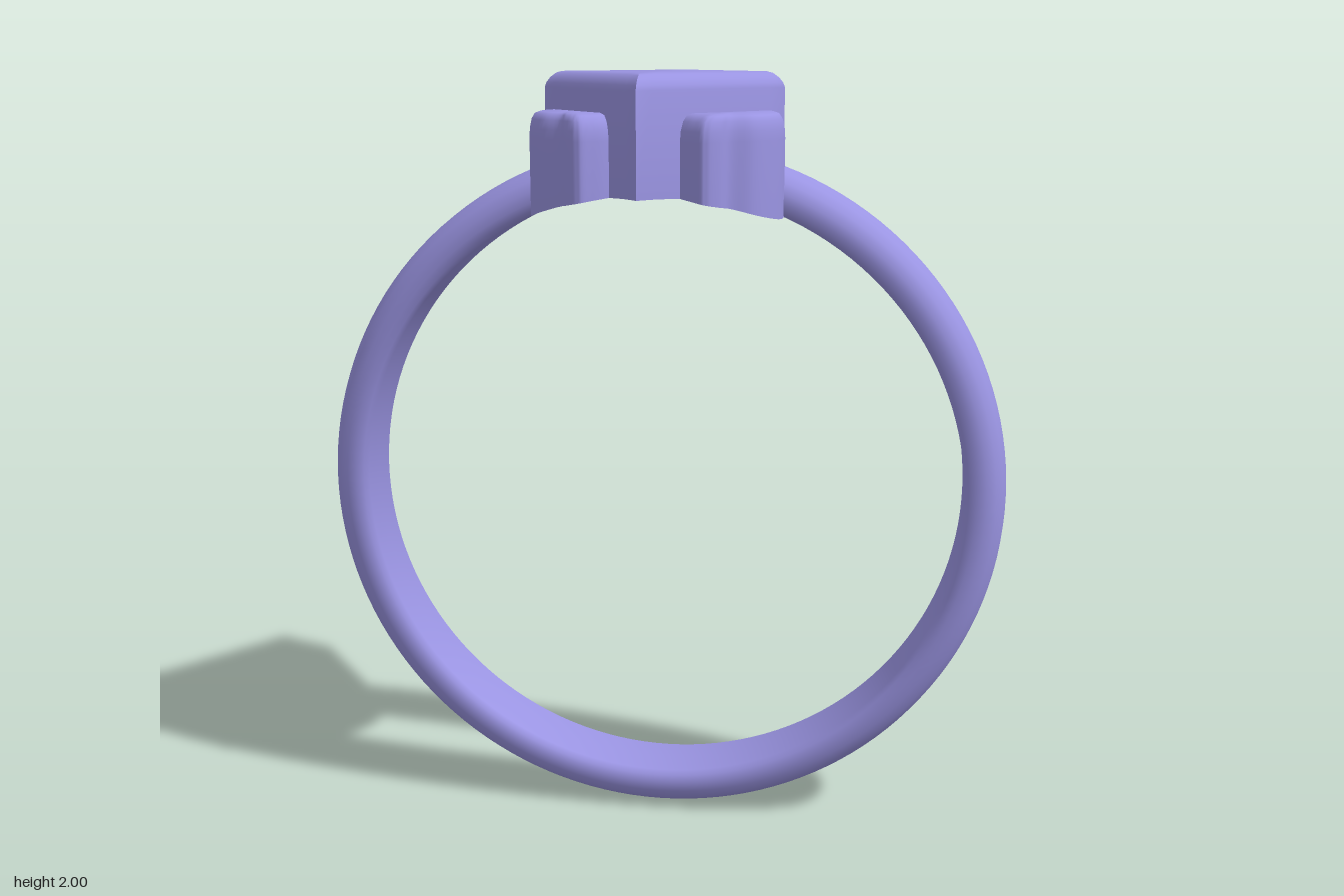
import * as THREE from 'three';
import { toCreasedNormals } from 'three/addons/utils/BufferGeometryUtils.js';

const CY = 0.91, INNER = 0.8;
const material = new THREE.MeshStandardMaterial({ color: 0x9a94e2 });

// Height of the finger hole's arch at x
const arch = (x) => CY + Math.sqrt(INNER * INNER - x * x);

// Skin an outline (x, z points) scaled about a centre; a null height follows the arch
function loft(outline, [cx, cz], levels, crease) {
  const pos = [], idx = [], n = outline.length;
  levels.forEach(([s, y], i) => {
    outline.forEach(([px, pz], j) => {
      const x = cx + (px - cx) * s, z = cz + (pz - cz) * s;
      pos.push(x, y ?? arch(x), z);
      if (i === levels.length - 1) return;
      const a = i * n + j, b = i * n + (j + 1) % n;
      if (s > 0) idx.push(a, a + n, b);
      if (levels[i + 1][0] > 0) idx.push(b, a + n, b + n);
      else if (s === 0) idx.pop();
    });
  });
  const geo = new THREE.BufferGeometry();
  geo.setAttribute('position', new THREE.Float32BufferAttribute(pos, 3));
  geo.setIndex(idx);
  return toCreasedNormals(geo, crease);
}

export function createModel() {
  const ring = new THREE.Group();
  ring.name = 'ring';
  const add = (name, geo) => {
    const mesh = new THREE.Mesh(geo, material);
    mesh.name = name;
    ring.add(mesh);
    return mesh;
  };

  // Band: domed outside, flat inside, open under the hollow head
  const half = [[0.8, 0], [0.8, 0.085], [0.81, 0.1], [0.83, 0.106], [0.855, 0.104],
    [0.88, 0.09], [0.898, 0.062], [0.907, 0.03]];
  const profile = [
    ...half.map(([r, z]) => new THREE.Vector2(r, -z)),
    new THREE.Vector2(0.91, 0),
    ...half.map(([r, z]) => new THREE.Vector2(r, z)).reverse(),
  ];
  const gap = 0.255;
  const band = new THREE.LatheGeometry(profile, 128, Math.PI + gap, 2 * Math.PI - 2 * gap);
  band.rotateX(Math.PI / 2);
  add('band', band).position.y = CY;

  // Diamond head: hollow below, softly bevelled on top
  const corners = [[0.31, 0], [0, 0.43], [-0.31, 0], [0, -0.43]];
  const diamond = [];
  corners.forEach(([x, z], i) => {
    const [x2, z2] = corners[(i + 1) % 4];
    for (let k = 0; k < 10; k++) diamond.push([x + (x2 - x) * k / 10, z + (z2 - z) * k / 10]);
  });
  add('diamondHead', loft(diamond, [0, 0], [
    [0, 1.88], [0.64, 1.88], [0.64, null], [1, null], [1, 1.96],
    [0.985, 1.972], [0.95, 1.985], [0.9, 1.996], [0.85, 2], [0, 2],
  ], 0.6));

  // Rounded side lobes hugging the two front faces
  const curve = new THREE.CatmullRomCurve3([
    [0.25, 0.03], [0.295, 0.0], [0.315, 0.05], [0.318, 0.14], [0.3, 0.21], [0.26, 0.275],
    [0.205, 0.308], [0.185, 0.34], [0.15, 0.365], [0.12, 0.345], [0.09, 0.315], [0.07, 0.28],
  ].map(([x, z]) => new THREE.Vector3(x, 0, z)), true);
  const lobe = curve.getPoints(60).slice(0, -1).map((p) => [p.x, p.z]);
  const levels = [[0, null], [0.5, null], [1, null], [1, 1.84], [0.985, 1.865],
    [0.94, 1.887], [0.87, 1.9], [0.75, 1.905], [0, 1.905]];
  add('leftLobe', loft(lobe, [0.2, 0.18], levels, 0.8));
  const mirrored = lobe.map(([x, z]) => [-x, z]).reverse();
  add('rightLobe', loft(mirrored, [-0.2, 0.18], levels, 0.8));

  return ring;
}
